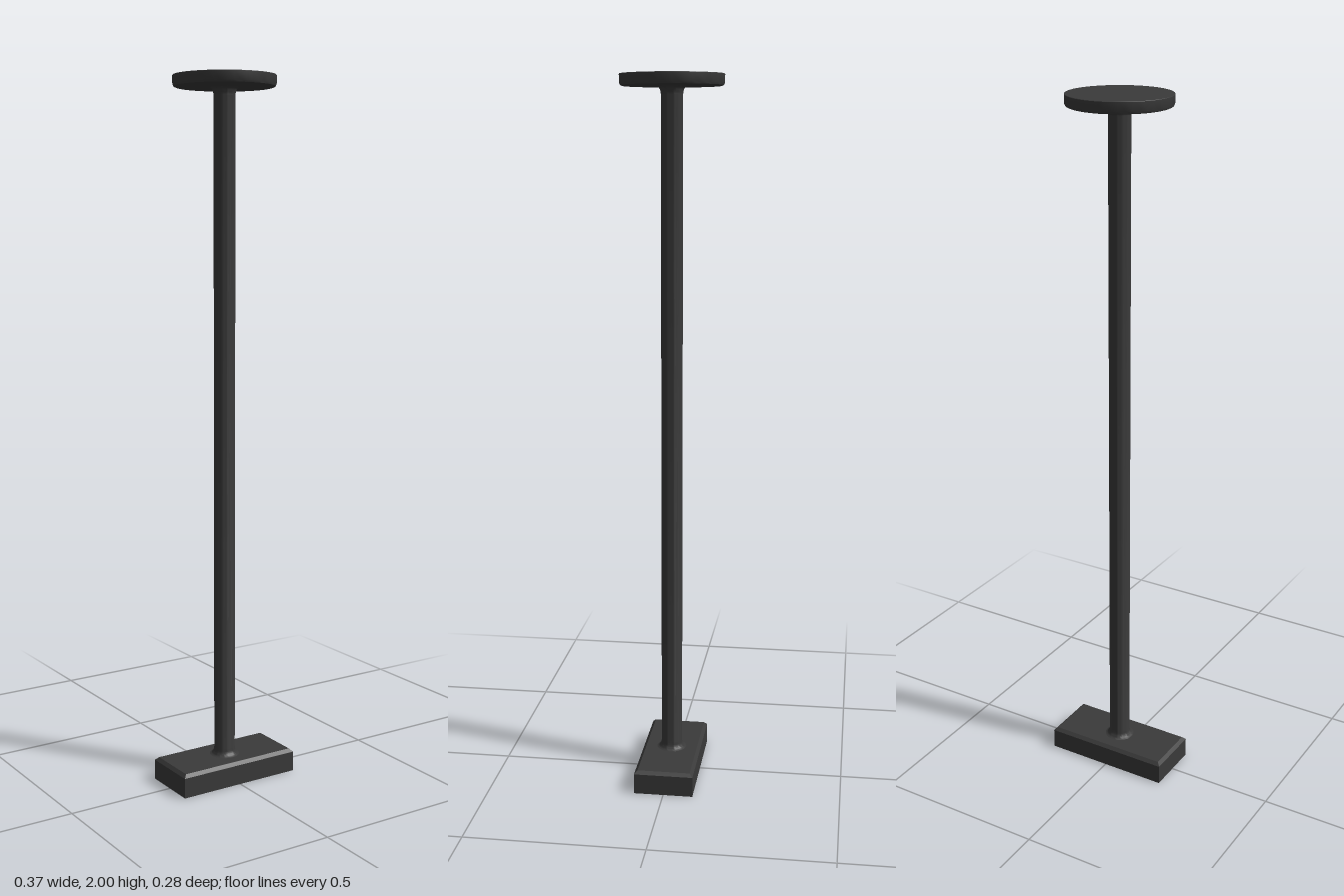
import * as THREE from 'three';
import { toCreasedNormals } from 'three/addons/utils/BufferGeometryUtils.js';

const SIDES = 48;

// Turned part from [radius, height] pairs, listed bottom to top
function turned(name, profile, material) {
  const points = profile.map(([r, y]) => new THREE.Vector2(r, y));
  const geometry = toCreasedNormals(new THREE.LatheGeometry(points, SIDES), 0.55);
  const mesh = new THREE.Mesh(geometry, material);
  mesh.name = name;
  return mesh;
}

// Block with a bevel around its top edge only
function bevelledBlock(name, w, h, d, bevel, material) {
  let geometry = new THREE.BoxGeometry(w, h, d, 1, 2, 1);
  geometry.translate(0, h / 2, 0);
  const p = geometry.attributes.position;
  for (let i = 0; i < p.count; i++) {
    const y = p.getY(i);
    if (y > h * 0.75) {
      p.setX(i, p.getX(i) - Math.sign(p.getX(i)) * bevel);
      p.setZ(i, p.getZ(i) - Math.sign(p.getZ(i)) * bevel);
    } else if (y > h * 0.25) {
      p.setY(i, h - bevel);
    }
  }
  geometry = geometry.toNonIndexed();
  geometry.computeVertexNormals();
  const mesh = new THREE.Mesh(geometry, material);
  mesh.name = name;
  return mesh;
}

export function createModel() {
  const group = new THREE.Group();
  group.name = 'post';
  const darkMetal = new THREE.MeshStandardMaterial({ color: 0x3a3a3a });
  darkMetal.name = 'darkMetal';

  const baseTop = 0.067, discBottom = 1.968;

  // Rectangular foot
  group.add(bevelledBlock('base', 0.374, baseTop, 0.168, 0.009, darkMetal));

  // Pole with a small concave flare at each end
  const poleR = 0.03, flare = 0.013, rise = 0.022;
  const profile = [];
  for (let i = 0; i <= 5; i++) {
    const a = (i / 5) * Math.PI / 2;
    profile.push([poleR + flare * (1 - Math.sin(a)), baseTop + rise * (1 - Math.cos(a))]);
  }
  const upper = profile.map(([r, y]) => [r, discBottom - (y - baseTop)]).reverse();
  group.add(turned('pole', [...profile, ...upper], darkMetal));

  // Round top plate, softened along the lower rim
  group.add(turned('topPlate', [
    [0, discBottom], [0.134, discBottom], [0.139, 1.970], [0.142, 1.976],
    [0.1425, 1.999], [0.1415, 2], [0, 2],
  ], darkMetal));

  return group;
}
